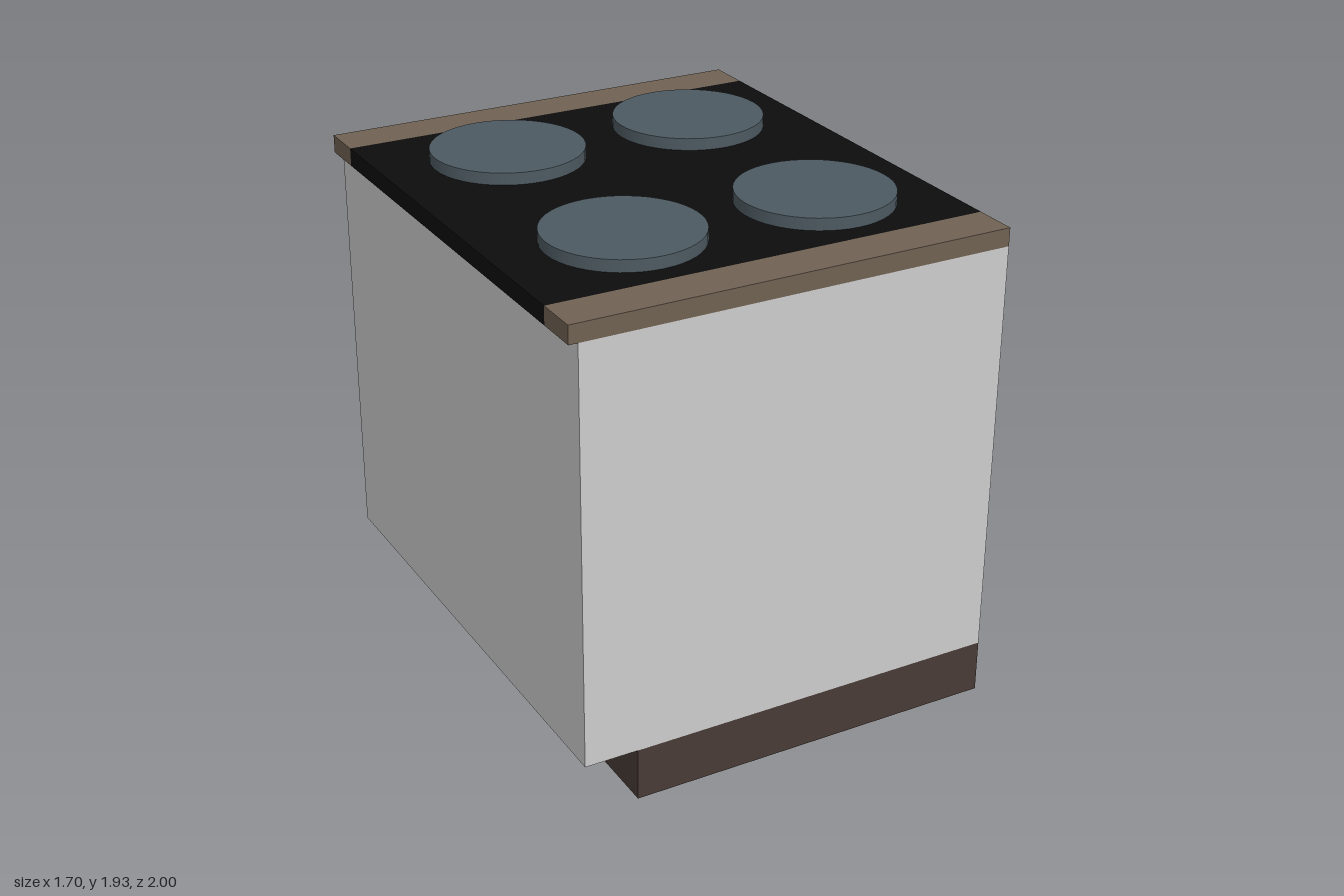
import * as THREE from 'three';

const material = (name, color) => {
  const m = new THREE.MeshStandardMaterial({ color });
  m.name = name;
  return m;
};

export function createModel() {
  const group = new THREE.Group();
  const cabinetGrey = material('cabinet grey', 0xcccccc);
  const plinthBrown = material('plinth brown', 0x483b35);
  const counterBrown = material('counter brown', 0x706152);
  const glassBlack = material('glass black', 0x0d0d0d);
  const plateGrey = material('hot plate grey', 0x4d5a61);

  // Box given by its minimum and maximum corners
  const box = (name, mat, [x0, y0, z0], [x1, y1, z1]) => {
    const mesh = new THREE.Mesh(new THREE.BoxGeometry(x1 - x0, y1 - y0, z1 - z0), mat);
    mesh.position.set((x0 + x1) / 2, (y0 + y1) / 2, (z0 + z1) / 2);
    mesh.name = name;
    group.add(mesh);
  };

  // Recessed plinth and cabinet
  box('plinth', plinthBrown, [-0.61, 0, -1], [0.848, 0.205, 1]);
  box('cabinet', cabinetGrey, [-0.816, 0.205, -1], [0.848, 1.818, 1]);

  // Worktop: black hob between two counter strips
  box('hob', glassBlack, [-0.85, 1.818, -0.83], [0.848, 1.887, 0.83]);
  box('backCounter', counterBrown, [-0.85, 1.818, -1], [0.848, 1.887, -0.83]);
  box('frontCounter', counterBrown, [-0.85, 1.818, 0.83], [0.848, 1.887, 1]);

  // Four round hot plates
  const plateGeometry = new THREE.CylinderGeometry(0.291, 0.291, 0.046, 48);
  for (const x of [-0.37, 0.397]) {
    for (const z of [-0.459, 0.457]) {
      const plate = new THREE.Mesh(plateGeometry, plateGrey);
      plate.position.set(x, 1.91, z);
      plate.name = 'hotPlate';
      group.add(plate);
    }
  }
  return group;
}
